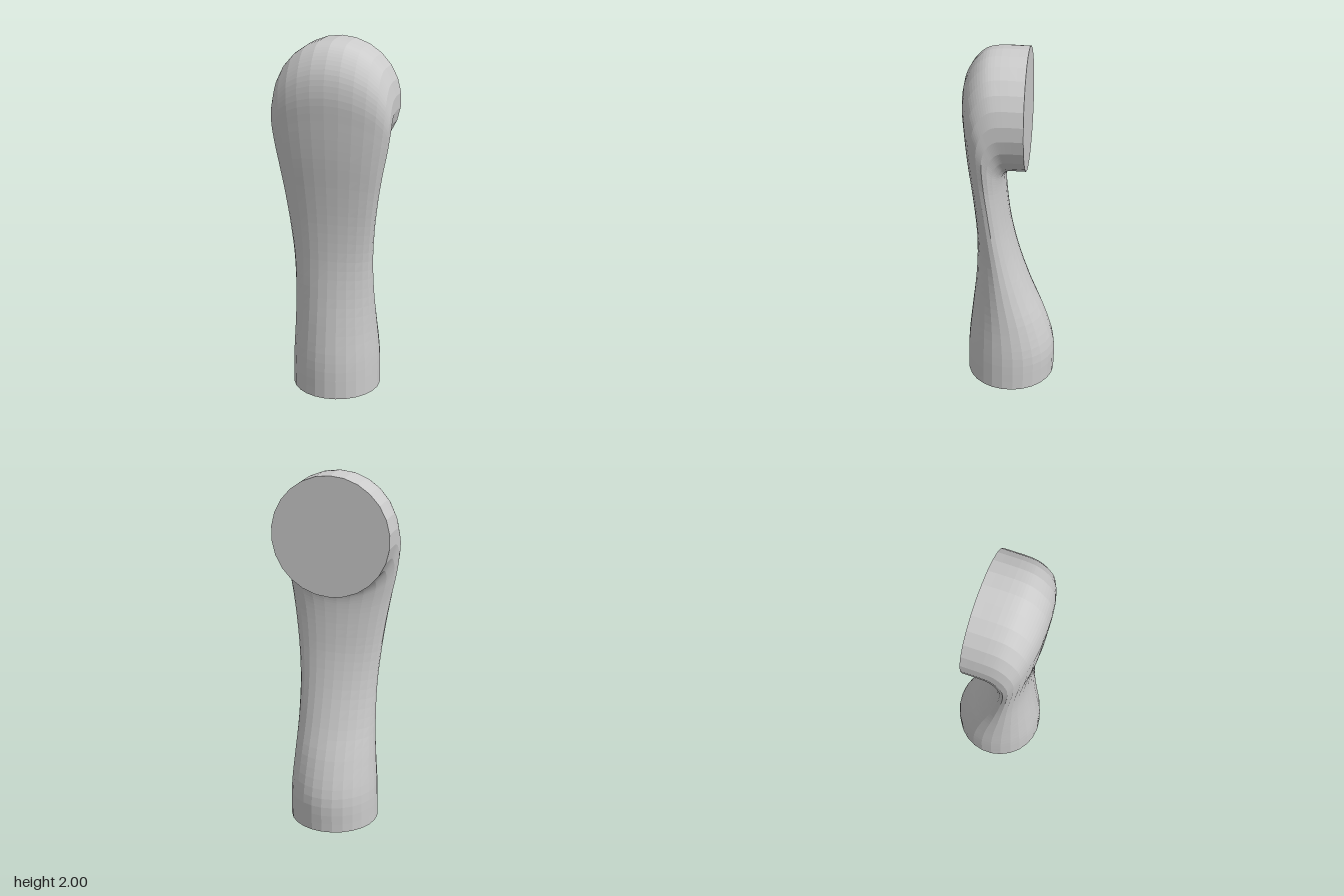
import * as THREE from 'three';

const SIDES = 26;
const STEPS = 52;

// Stations along the sweep: [half width, front y, front z, back y, back z].
// Sections start level at the base and tip over to face backwards at the head.
const STATIONS = [
  [0.25, 0, 0.25, 0, -0.25],
  [0.247, 0.2, 0.247, 0.19, -0.25],
  [0.234, 0.4, 0.226, 0.38, -0.197],
  [0.224, 0.6, 0.202, 0.58, -0.115],
  [0.224, 0.8, 0.187, 0.78, -0.046],
  [0.239, 1.0, 0.19, 0.97, 0],
  [0.262, 1.2, 0.207, 1.13, 0.021],
  [0.288, 1.4, 0.23, 1.24, 0.028],
  [0.312, 1.6, 0.246, 1.29, 0.027],
  [0.325, 1.75, 0.252, 1.315, 0.022],
  [0.33, 1.86, 0.232, 1.327, 0.015],
  [0.33, 1.94, 0.185, 1.334, 0.008],
  [0.33, 1.985, 0.13, 1.338, 0],
  [0.33, 2.0, 0.07, 1.34, -0.015],
  [0.33, 2.0, -0.093, 1.34, -0.093],
];

// Loft of elliptical rings hung between the front and back curves
function loftGeometry() {
  const front = new THREE.CatmullRomCurve3(STATIONS.map(([w, y, z]) => new THREE.Vector3(w, y, z)));
  const back = new THREE.CatmullRomCurve3(STATIONS.map(([w, , , y, z]) => new THREE.Vector3(w, y, z)));
  const positions = [];
  const indices = [];
  for (let i = 0; i <= STEPS; i++) {
    const f = front.getPoint(i / STEPS);
    const b = back.getPoint(i / STEPS);
    for (let j = 0; j < SIDES; j++) {
      const a = (j / SIDES) * Math.PI * 2;
      const k = (1 + Math.cos(a)) / 2;
      positions.push(f.x * Math.sin(a), b.y + (f.y - b.y) * k, b.z + (f.z - b.z) * k);
      if (i < STEPS) {
        const p = i * SIDES + j;
        const q = i * SIDES + ((j + 1) % SIDES);
        indices.push(p, q, q + SIDES, p, q + SIDES, p + SIDES);
      }
    }
  }
  const geometry = new THREE.BufferGeometry();
  geometry.setAttribute('position', new THREE.Float32BufferAttribute(positions, 3));
  geometry.setIndex(indices);
  geometry.computeVertexNormals();
  return geometry;
}

export function createModel() {
  const group = new THREE.Group();
  group.name = 'curvedHandle';
  const material = new THREE.MeshStandardMaterial({ color: 0xcccccc, flatShading: true });

  const add = (name, geometry) => {
    const mesh = new THREE.Mesh(geometry, material);
    mesh.name = name;
    group.add(mesh);
    return mesh;
  };

  // Stem flowing into the backward-facing head
  add('body', loftGeometry());

  // Flat underside of the stem
  add('baseCap', new THREE.CircleGeometry(0.25, SIDES, Math.PI / 2).rotateX(Math.PI / 2));

  // Flat round back of the head
  add('headCap', new THREE.CircleGeometry(0.33, SIDES, Math.PI / 2).rotateY(Math.PI))
    .position.set(0, 1.67, -0.093);

  return group;
}
